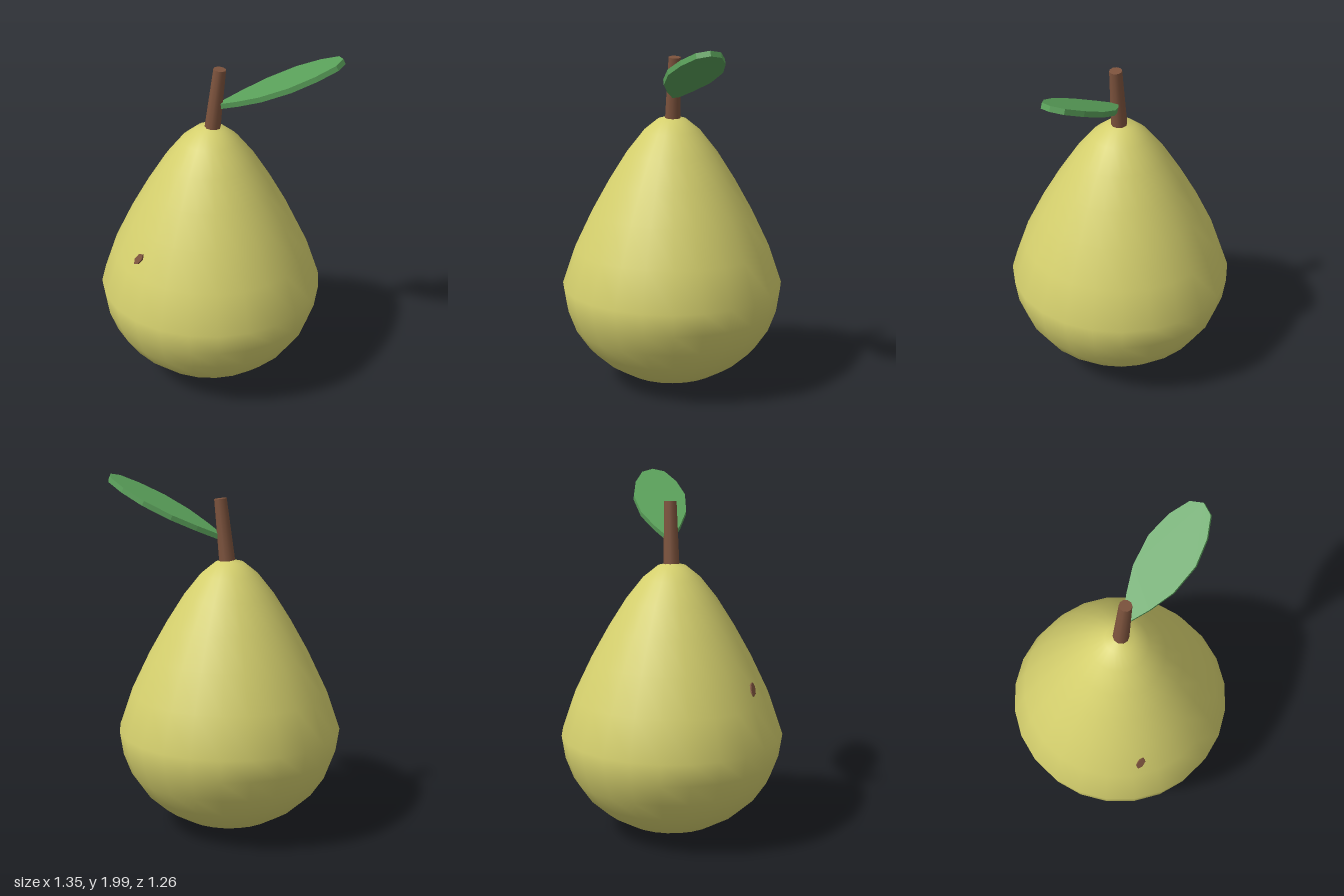
import * as THREE from 'three';

export function createModel() {
  const mat = (name, color) => {
    const m = new THREE.MeshStandardMaterial({ color });
    m.name = name;
    return m;
  };
  const skin = mat('pear skin', 0xd4cf6d);
  const bark = mat('brown stem', 0x7d533d);
  const green = mat('leaf green', 0x5aa05a);

  const group = new THREE.Group();
  group.name = 'pear';
  const add = (name, geometry, material) => {
    const mesh = new THREE.Mesh(geometry, material);
    mesh.name = name;
    group.add(mesh);
    return mesh;
  };
  const vec = ([x, y]) => new THREE.Vector2(x, y);

  // Body: rounded bottom, tapering to the neck
  const profile = [
    [0, 0.005], [0.14, 0.02], [0.27, 0.06], [0.39, 0.13], [0.49, 0.22],
    [0.565, 0.33], [0.61, 0.45], [0.63, 0.58], [0.555, 0.8], [0.455, 1.01],
    [0.355, 1.19], [0.255, 1.35], [0.16, 1.47], [0.08, 1.535], [0, 1.555],
  ].map(vec);
  add('body', new THREE.LatheGeometry(profile, 24), skin).position.x = -0.05;

  // Stem: slightly tapered and leaning
  const stem = add('stem', new THREE.CylinderGeometry(0.035, 0.045, 0.36, 10), bark);
  stem.position.set(-0.017, 1.708, 0);
  stem.rotation.z = -0.115;

  // Leaf: thick flat outline, mirrored about its midrib
  const half = [[0, 0.008], [0.133, 0.075], [0.276, 0.13], [0.453, 0.15], [0.602, 0.12], [0.713, 0.067]];
  const mirrored = half.map(([x, w]) => [x, -w]).reverse();
  const outline = [...mirrored, ...half, [0.745, 0]];
  // Order: right edge to base, left edge to tip
  const leafGeometry = new THREE.ExtrudeGeometry(new THREE.Shape(outline.map(vec)), {
    depth: 0.03, bevelEnabled: false,
  });
  leafGeometry.rotateX(-Math.PI / 2);
  const leaf = add('leaf', leafGeometry, green);
  leaf.position.set(0, 1.655, 0);
  leaf.rotation.z = 0.438;

  // Blemish: small oblong fleck lying on the skin
  const fleckGeometry = new THREE.CylinderGeometry(1, 1, 0.012, 6)
    .rotateX(Math.PI / 2).scale(0.022, 0.042, 1).rotateZ(-0.5);
  const fleck = add('blemish', fleckGeometry, bark);
  fleck.rotation.set(-0.42, -0.69, 0, 'YXZ');
  fleck.position.set(-0.374, 0.892, 0.395);

  return group;
}
